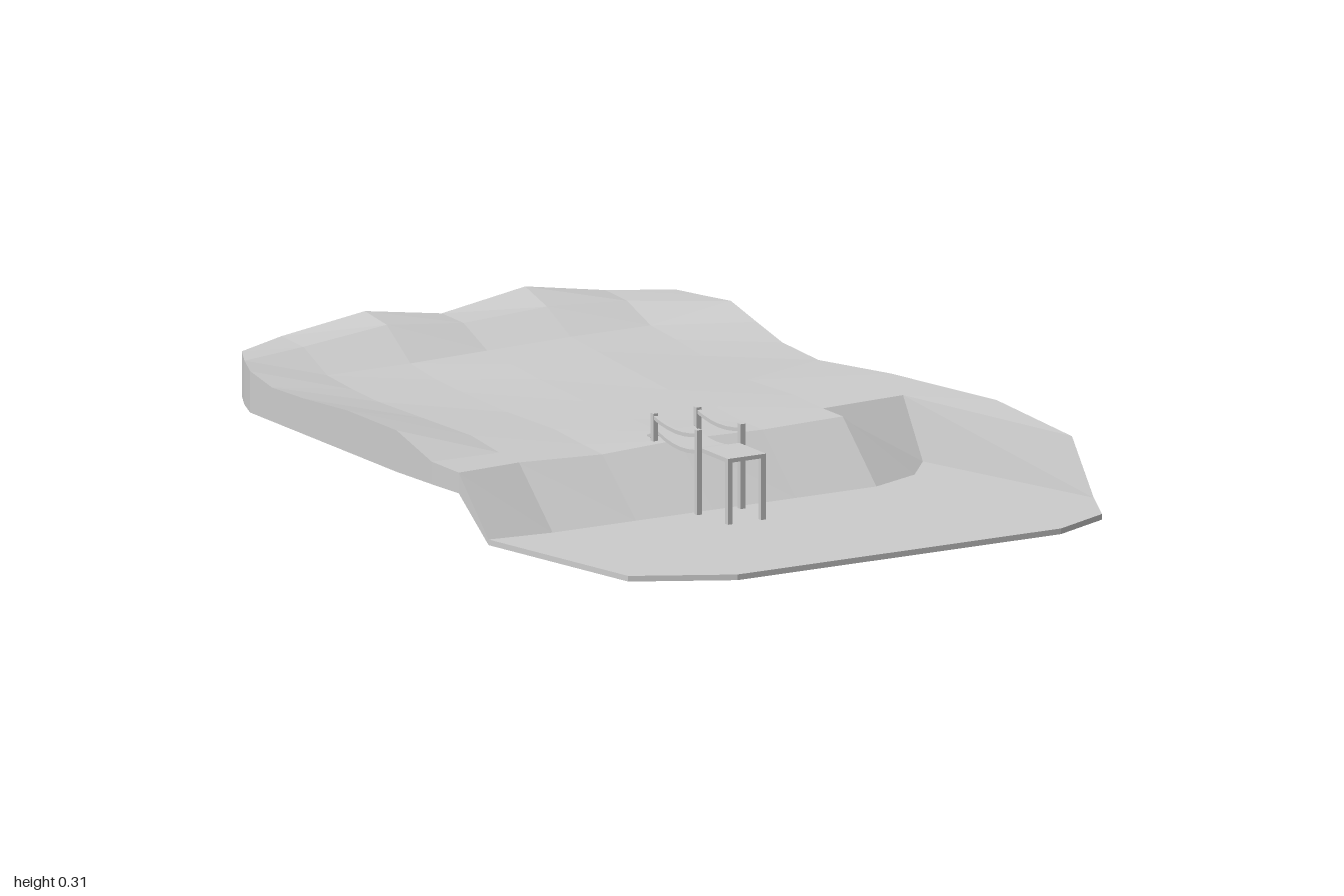
import * as THREE from 'three';

const grey = new THREE.MeshStandardMaterial({ color: 0xcccccc });
grey.name = 'stone grey';

// Collects flat-shaded faces; corners run anticlockwise seen from outside
class Faces {
  constructor() { this.p = []; }
  tri(a, b, c) {
    const [u, v, w] = [a, b, c].map((q) => new THREE.Vector3(...q));
    if (v.clone().sub(u).cross(w.clone().sub(u)).length() > 1e-7) this.p.push(...a, ...b, ...c);
  }
  quad(a, b, c, d) { this.tri(a, b, c); this.tri(a, c, d); }
  // Horizontal polygon, facing up or down
  poly(points, up) {
    const ring = points.map((q) => new THREE.Vector2(q[0], q[2]));
    const cw = THREE.ShapeUtils.isClockWise(ring);
    for (const [i, j, k] of THREE.ShapeUtils.triangulateShape(ring, [])) {
      const [a, b, c] = [points[i], points[j], points[k]];
      const ny = (b[2] - a[2]) * (c[0] - a[0]) - (b[0] - a[0]) * (c[2] - a[2]);
      if ((ny > 0) === up) this.tri(a, b, c); else this.tri(a, c, b);
    }
    return cw;
  }
  // Vertical skirt along a path with its outer side on the right-hand side
  skirt(path, y) {
    for (let i = 0; i + 1 < path.length; i++) {
      const [a, b] = [path[i], path[i + 1]];
      this.quad(at(a, y), at(b, y), b, a);
    }
  }
  mesh(name) {
    const g = new THREE.BufferGeometry();
    g.setAttribute('position', new THREE.Float32BufferAttribute(this.p, 3));
    g.computeVertexNormals();
    const m = new THREE.Mesh(g, grey);
    m.name = name;
    return m;
  }
}
const at = (q, y) => [q[0], y, q[2]];

const LAND_BASE = 0.145, LOW_TOP = 0.04, LOW_BASE = 0.025;

// Land rows from back to front: inner z, left [x, z], right [x, z], then heights
const COLS = [-0.58, -0.33, -0.1, 0.15, 0.39];
const ROWS = [
  [-1, [-0.74, -0.93], [0.56, -0.93], [0.265, 0.27, 0.305, 0.27, 0.31, 0.27, 0.265]],
  [-0.89, [-0.78, -0.85], [0.595, -0.85], [0.262, 0.265, 0.292, 0.268, 0.28, 0.265, 0.262]],
  [-0.77, [-0.81, -0.77], [0.63, -0.77], [0.255, 0.215, 0.215, 0.22, 0.225, 0.225, 0.26]],
  [-0.64, [-0.81, -0.66], [0.63, -0.64], [0.235, 0.205, 0.2, 0.21, 0.215, 0.215, 0.232]],
  [-0.51, [-0.81, -0.5], [0.63, -0.51], [0.24, 0.2, 0.195, 0.2, 0.205, 0.2, 0.205]],
  [-0.28, [-0.81, -0.28], [0.655, -0.37], [0.255, 0.205, 0.19, 0.19, 0.19, 0.185, 0.185]],
  [-0.04, [-0.81, -0.03], [0.71, -0.1], [0.255, 0.21, 0.195, 0.195, 0.195, 0.195, 0.2]],
  [0.1, [-0.8, 0.13], [0.63, 0.1], [0.205, 0.195, 0.185, 0.19, 0.185, 0.19, 0.195]],
];
const FRONT_Y = [0.2, 0.19, 0.18, 0.19, 0.185, 0.19];

function buildLand() {
  const land = new Faces(), bank = new Faces(), low = new Faces();
  const grid = ROWS.map(([z, l, r, h]) => [
    [l[0], h[0], l[1]], ...COLS.map((x, i) => [x, h[i + 1], z]), [r[0], h[6], r[1]],
  ]);

  // Upper ground
  for (let r = 0; r + 1 < grid.length; r++)
    for (let c = 0; c < 6; c++)
      land.quad(grid[r][c], grid[r + 1][c], grid[r + 1][c + 1], grid[r][c + 1]);
  const back = grid[7];
  const front = [[-0.79, FRONT_Y[0], 0.25], ...COLS.map((x, i) => [x, FRONT_Y[i + 1], 0.2])];
  for (let c = 0; c < 5; c++) land.quad(back[c], front[c], front[c + 1], back[c + 1]);

  // Narrow spit on the left
  const tip = [0.81, 0.18, 0.65], outer = [0.81, 0.195, 0.27];
  land.tri(back[6], tip, outer);
  land.tri(back[6], outer, grid[6][6]);

  // Outer skirt and underside of the upper ground
  const rim = [tip, outer, ...grid.slice(0, 7).reverse().map((q) => q[6]),
    ...grid[0].slice(1, 6).reverse(), ...grid.map((q) => q[0]), front[0]];
  land.skirt(rim, LAND_BASE);
  const crest = [...front, back[5], back[6], tip];
  land.poly([...rim, ...crest.slice(1, -1)].map((q) => at(q, LAND_BASE)), false);

  // Sloping bank, top and underside
  const foot = [[-0.76, 0.35], ...COLS.map((x) => [x, 0.37]), [0.54, 0.31], [0.63, 0.2], [0.81, 0.76]]
    .map(([x, z]) => [x, LOW_TOP, z]);
  for (let i = 0; i + 1 < foot.length; i++) {
    const [a, b, c, d] = [crest[i], foot[i], foot[i + 1], crest[i + 1]];
    bank.quad(a, b, c, d);
    bank.quad(at(d, LAND_BASE), at(c, LOW_BASE), at(b, LOW_BASE), at(a, LAND_BASE));
  }
  bank.quad(at(crest[0], LAND_BASE), at(foot[0], LOW_BASE), foot[0], crest[0]);
  bank.quad(crest[8], foot[8], at(foot[8], LOW_BASE), at(crest[8], LAND_BASE));

  // Thin lower sheet
  const shore = [foot[0], ...[[-0.65, 0.87], [-0.4, 1], [0.57, 1], [0.74, 0.92]]
    .map(([x, z]) => [x, LOW_TOP, z]), foot[8]];
  const sheet = [...shore, ...foot.slice(1, -1).reverse()];
  low.poly(sheet, true);
  low.poly(sheet.map((q) => at(q, LOW_BASE)), false);
  low.skirt(shore, LOW_BASE);

  return [land.mesh('upperGround'), bank.mesh('bank'), low.mesh('lowerSheet')];
}

function box(name, x0, x1, y0, y1, z0, z1) {
  const m = new THREE.Mesh(new THREE.BoxGeometry(x1 - x0, y1 - y0, z1 - z0), grey);
  m.position.set((x0 + x1) / 2, (y0 + y1) / 2, (z0 + z1) / 2);
  m.name = name;
  return m;
}

// Ribbon of even thickness following [z, y] points, extruded across x
function ribbon(name, points, thick, x0, x1) {
  const s = new THREE.Shape([
    ...points.map(([z, y]) => new THREE.Vector2(-z, y)),
    ...points.slice().reverse().map(([z, y]) => new THREE.Vector2(-z, y - thick)),
  ]);
  const g = new THREE.ExtrudeGeometry(s, { depth: x1 - x0, bevelEnabled: false });
  g.rotateY(Math.PI / 2).translate(x0, 0, 0);
  const m = new THREE.Mesh(g, grey);
  m.name = name;
  return m;
}

const sag = (y, drop) => Array.from({ length: 7 }, (_, i) => {
  const t = i / 6;
  return [0.4 - 0.23 * t, y - drop * 4 * t * (1 - t)];
});

function buildDock() {
  const dock = new THREE.Group();
  dock.name = 'dock';
  const cx = -0.0925;
  // Flat landing, hanging walkway and short ramp
  dock.add(box('landing', cx - 0.057, cx + 0.057, 0.204, 0.215, 0.395, 0.53));
  dock.add(ribbon('walkway', sag(0.213, 0.018), 0.01, cx - 0.055, cx + 0.055));
  dock.add(ribbon('ramp', [[0.17, 0.213], [0.12, 0.192]], 0.01, cx - 0.057, cx + 0.057));
  for (const side of [-1, 1]) {
    const px = cx + side * 0.065, lx = cx + side * 0.05;
    dock.add(box('tallPost', px - 0.007, px + 0.007, 0.003, 0.265, 0.385, 0.4));
    dock.add(box('shorePost', px - 0.007, px + 0.007, 0.13, 0.262, 0.163, 0.178));
    dock.add(box('landingLeg', lx - 0.007, lx + 0.007, 0.025, 0.206, 0.515, 0.529));
    dock.add(ribbon('handrail', sag(0.257, 0.015), 0.01, px - 0.005, px + 0.005));
  }
  return dock;
}

export function createModel() {
  const model = new THREE.Group();
  model.name = 'shoreWithDock';
  model.add(...buildLand(), buildDock());
  return model;
}
